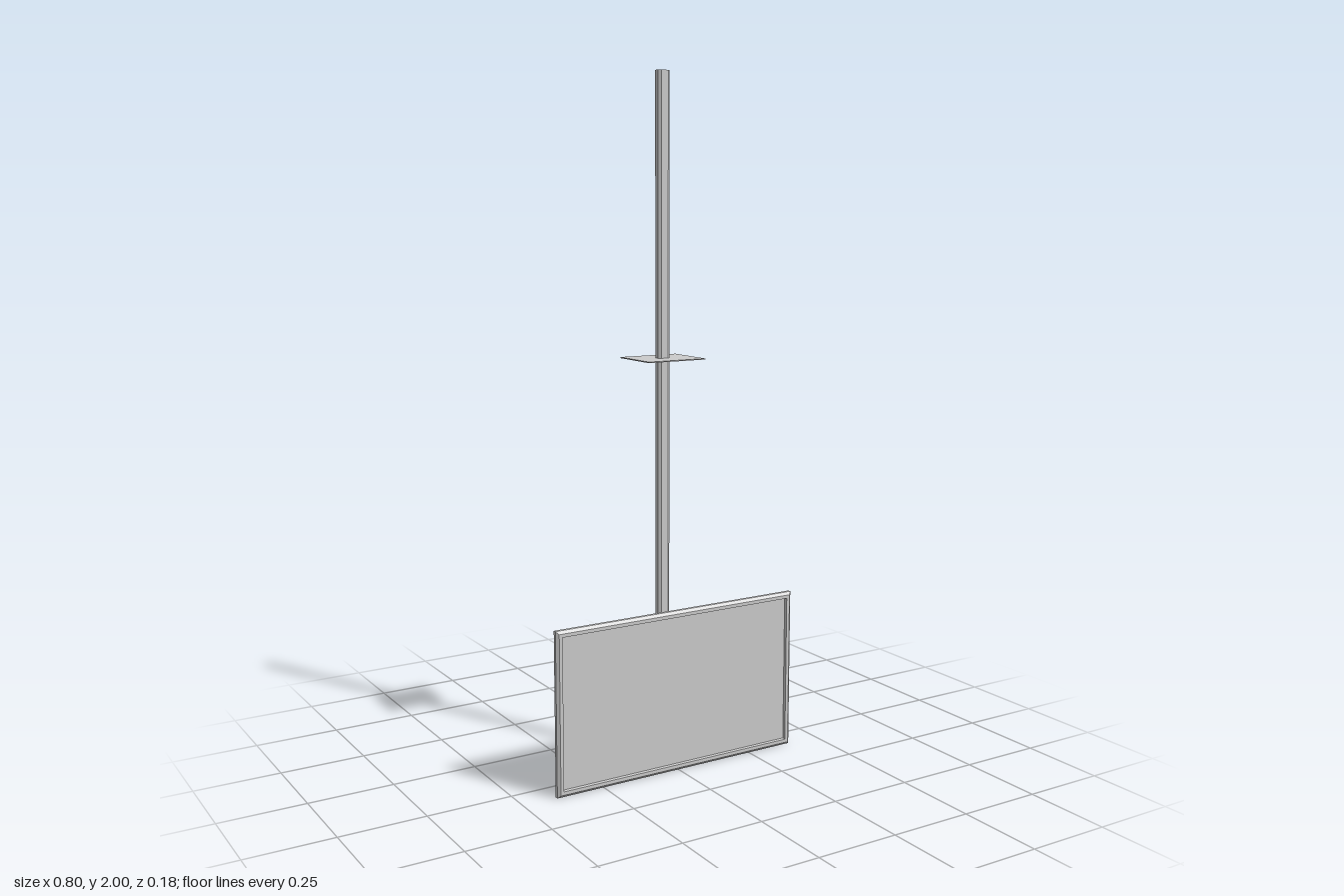
import * as THREE from 'three';

const material = new THREE.MeshStandardMaterial({ color: 0xcccccc, flatShading: true });

// Skin a list of matching rings (counter-clockwise along the travel direction) and cap both ends
function loft(name, rings) {
  const pos = [];
  const tri = (a, b, c) => pos.push(...a, ...b, ...c);
  const n = rings[0].length;
  for (let r = 0; r < rings.length - 1; r++) {
    for (let i = 0; i < n; i++) {
      const j = (i + 1) % n, a = rings[r], b = rings[r + 1];
      tri(a[i], a[j], b[j]);
      tri(a[i], b[j], b[i]);
    }
  }
  const first = rings[0], last = rings[rings.length - 1];
  for (let i = 1; i < n - 1; i++) {
    tri(first[0], first[i + 1], first[i]);
    tri(last[0], last[i], last[i + 1]);
  }
  const geometry = new THREE.BufferGeometry();
  geometry.setAttribute('position', new THREE.Float32BufferAttribute(pos, 3));
  geometry.computeVertexNormals();
  const mesh = new THREE.Mesh(geometry, material);
  mesh.name = name;
  return mesh;
}

// Upright rectangle at depth z
const rect = (w, h, cy, z) => [
  [w / 2, cy - h / 2, z], [w / 2, cy + h / 2, z],
  [-w / 2, cy + h / 2, z], [-w / 2, cy - h / 2, z],
];

export function createModel() {
  const group = new THREE.Group();

  // Display panel: chamfered rim around a recessed screen
  const W = 0.795, H = 0.48, cy = 0.24;
  const panel = [[0, 0.071], [0, 0.081], [0.008, 0.088], [0.018, 0.088], [0.02, 0.08]];
  group.add(loft('displayPanel', panel.map(([inset, z]) => rect(W - 2 * inset, H - 2 * inset, cy, z))));

  // Tapered bracket on the back of the panel
  group.add(loft('mountBracket', [
    rect(0.165, 0.085, 0.245, 0.057), rect(0.186, 0.108, 0.245, 0.065), rect(0.186, 0.108, 0.245, 0.072),
  ]));

  // Ceiling pole with a mitred elbow turning forward into the arm
  const section = [
    [0.019, -0.007], [0.019, 0.007], [0.011, 0.0135], [-0.011, 0.0135],
    [-0.019, 0.007], [-0.019, -0.007], [-0.011, -0.0135], [0.011, -0.0135],
  ];
  const py = 0.245, pz = -0.009;
  group.add(loft('poleAndArm', [
    section.map(([x, u]) => [x, 2, pz + u]),
    section.map(([x, u]) => [x, py + u, pz + u]),
    section.map(([x, u]) => [x, py + u, 0.06]),
  ]));

  // Thin ceiling plate around the pole
  const plate = new THREE.Mesh(new THREE.BoxGeometry(0.186, 0.003, 0.16), material);
  plate.name = 'ceilingPlate';
  plate.position.set(0, 1.2, -0.008);
  group.add(plate);

  return group;
}
